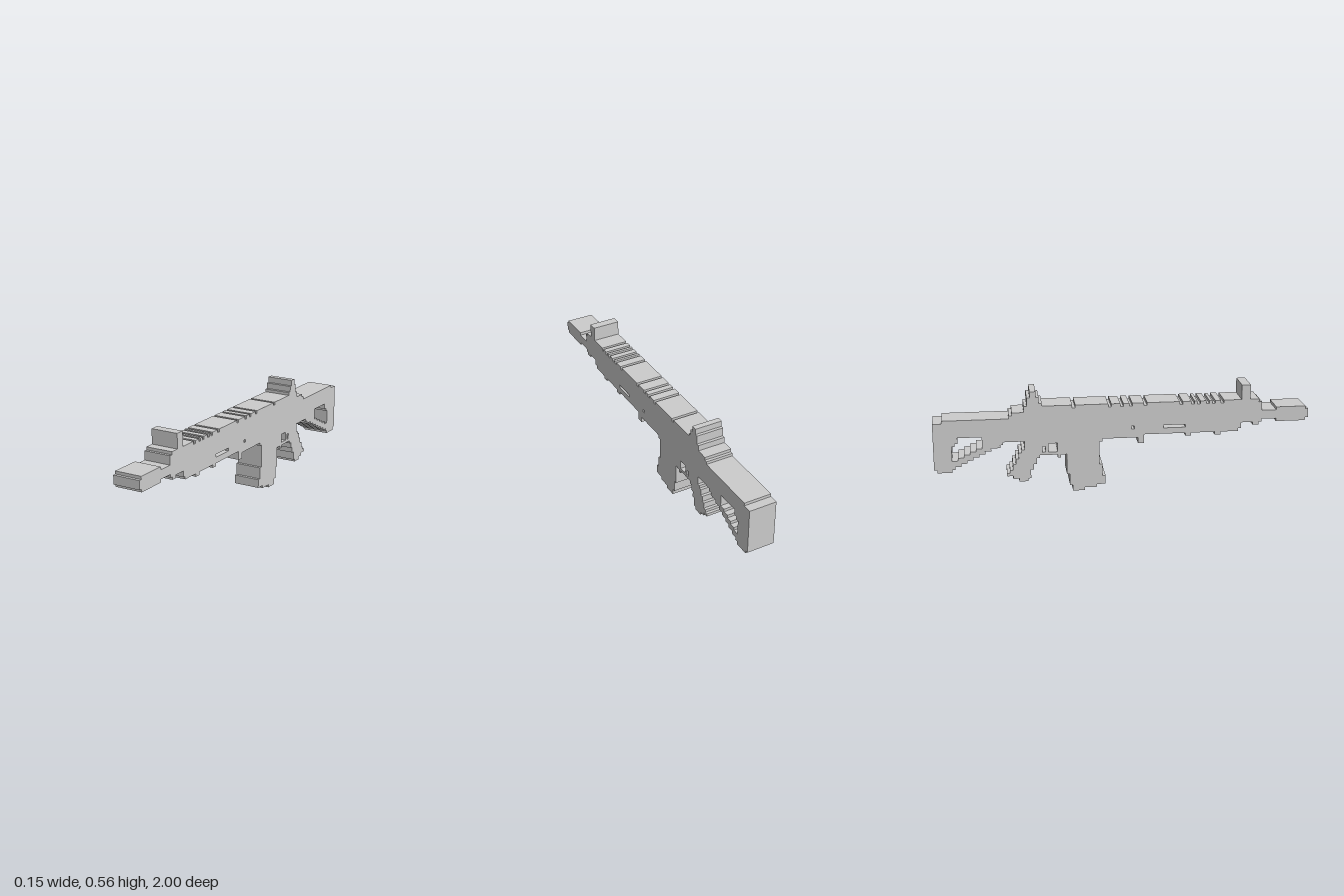
import * as THREE from 'three';

// Everything is a stepped side profile on a grid of 1/63 unit cells,
// column 0 at the front (z = 1), row 0 at the ground.
const CELL = 1 / 63;
const WIDTH = 0.15;
const material = new THREE.MeshStandardMaterial({ color: 0xcccccc, flatShading: true });

// Turns runs of [startColumn, row] into the corners of a staircase.
function stairs(runs, end) {
  return runs.flatMap(([column, row], i) => {
    const next = i + 1 < runs.length ? runs[i + 1][0] : end;
    return [column, next].map(c => new THREE.Vector2(1 - c * CELL, row * CELL));
  });
}

const outline = ({ top, bottom, end }) => [...stairs(top, end), ...stairs(bottom, end).reverse()];

const rect = (start, end, low, high) => ({ end, top: [[start, high]], bottom: [[start, low]] });

function part(name, profile, holes = []) {
  const shape = new THREE.Shape(outline(profile));
  shape.holes = holes.map(hole => new THREE.Path(outline(hole)));
  const geometry = new THREE.ExtrudeGeometry(shape, { depth: WIDTH, bevelEnabled: false });
  geometry.translate(0, 0, -WIDTH / 2).rotateY(-Math.PI / 2);
  const mesh = new THREE.Mesh(geometry, material);
  mesh.name = name;
  return mesh;
}

export function createModel() {
  const group = new THREE.Group();
  group.name = 'steppedRifle';

  // Barrel with a thicker muzzle
  group.add(part('barrel', {
    end: 16,
    top: [[0, 26], [1, 27], [11, 26]],
    bottom: [[0, 23], [1, 22], [11, 23]],
  }));

  // Receiver and handguard, with one-cell notches along the top rail
  const notches = [29, 32, 34, 37, 39, 43, 55, 60, 63, 67, 79];
  group.add(part('receiver', {
    end: 101,
    top: [[16, 29], [17, 30], ...notches.flatMap(c => [[c, 29], [c + 1, 30]]),
      [96, 28], [100, 27]],
    bottom: [[16, 22], [17, 21], [19, 22], [23, 20], [24, 19], [30, 18], [32, 19],
      [40, 18], [42, 19], [56, 16], [58, 18], [70, 17], [71, 18]],
  }, [rect(42, 49.5, 21, 22), rect(59.3, 60.3, 21, 22)]));

  // Sights
  group.add(part('frontSight', rect(20, 23, 30, 35)));
  group.add(part('rearSight', {
    end: 95,
    top: [[90, 31], [91, 33], [92, 35], [94, 33]],
    bottom: [[90, 30]],
  }));

  // Magazine
  group.add(part('magazine', {
    end: 82,
    top: [[69, 5], [70, 9], [71, 18]],
    bottom: [[69, 2], [72, 1], [76, 0], [80, 2], [81, 6]],
  }));

  // Trigger guard; the strip between its openings is the trigger
  group.add(part('triggerGuard', {
    end: 91,
    top: [[82, 18]],
    bottom: [[82, 13], [84, 12], [85, 13]],
  }, [rect(85, 88, 14, 17), rect(89, 90, 14, 16)]));

  // Pistol grip
  group.add(part('grip', {
    end: 102,
    top: [[91, 18], [96, 15], [97, 14], [98, 12], [99, 10], [100, 8], [101, 7]],
    bottom: [[91, 12], [92, 10], [93, 8], [94, 5], [95, 4], [98, 5], [100, 6]],
  }));

  // Skeleton stock with a stepped strut
  group.add(part('stock', {
    end: 126,
    top: [[101, 26], [123, 25]],
    bottom: [[101, 18], [103, 17], [104, 16], [107, 15], [109, 14], [111, 13],
      [113, 12], [115, 11], [117, 10], [119, 9], [120, 8], [125, 9]],
  }, [{
    end: 120,
    top: [[110, 20], [118, 18], [119, 17]],
    bottom: [[110, 16], [112, 15], [114, 14], [116, 13], [118, 12]],
  }]));

  return group;
}
